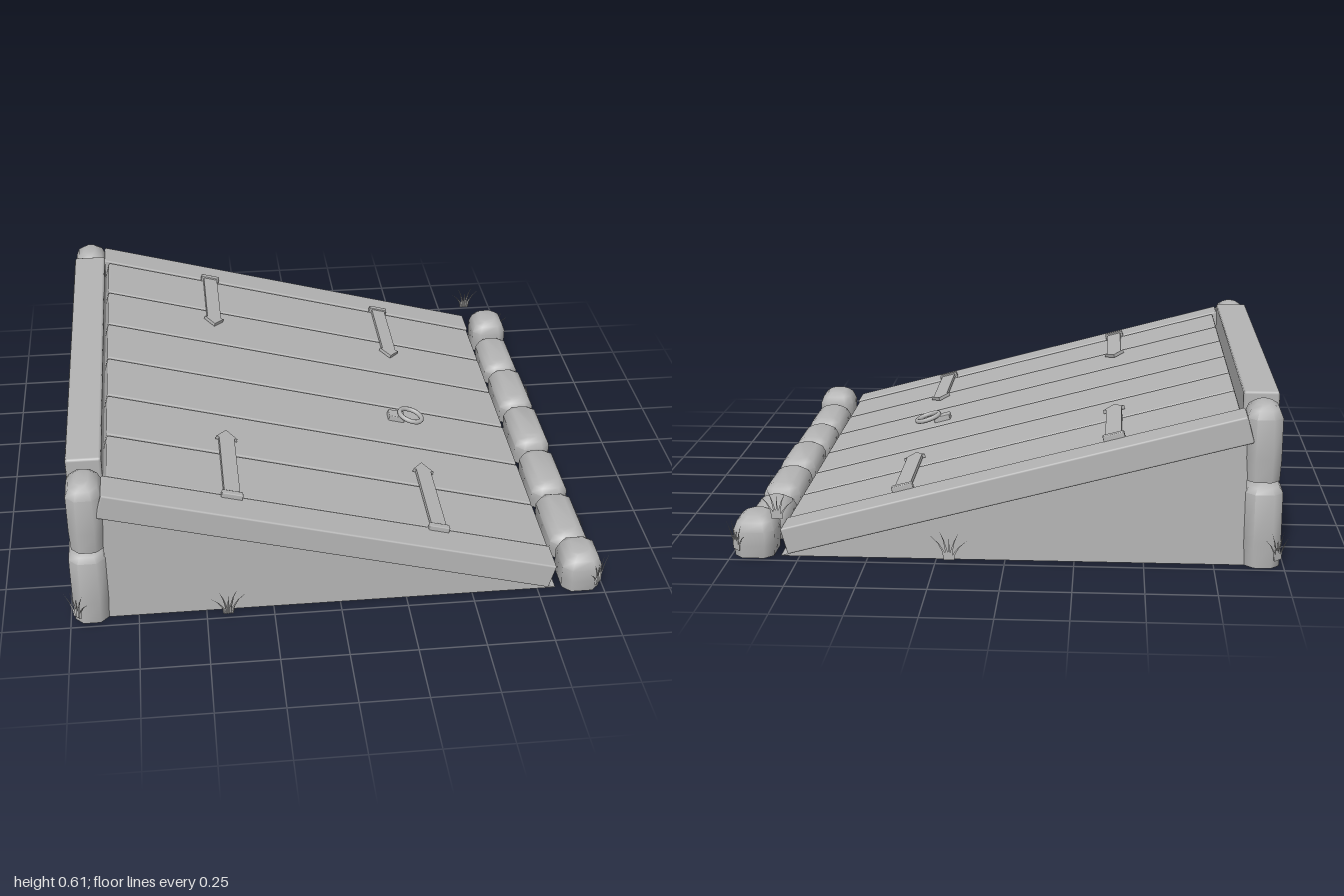
import * as THREE from 'three';
import { toCreasedNormals } from 'three/addons/utils/BufferGeometryUtils.js';
import { RoundedBoxGeometry } from 'three/addons/geometries/RoundedBoxGeometry.js';

const grey = new THREE.MeshStandardMaterial({ color: 0xb4b4b4 });
grey.name = 'grey';

function add(parent, name, geometry, x = 0, y = 0, z = 0) {
  const mesh = new THREE.Mesh(geometry, grey);
  mesh.name = name;
  mesh.position.set(x, y, z);
  parent.add(mesh);
  return mesh;
}

// Box given by its limits on each axis, with small bevels
function bevelBox(parent, name, [x0, x1], [y0, y1], [z0, z1], bevel = 0.007) {
  const geometry = new RoundedBoxGeometry(x1 - x0, y1 - y0, z1 - z0, 1, bevel);
  return add(parent, name, geometry, (x0 + x1) / 2, (y0 + y1) / 2, (z0 + z1) / 2);
}

// Stone with chamfered corners, flat base and domed top
function stoneGeometry(w, h, d, dome) {
  const rings = [[0.004, 0], [0, h * 0.3], [0, h - dome], [0.012, h - dome * 0.4], [0.033, h - dome * 0.08], [0.042, h]];
  const position = [], index = [];
  for (const [inset, y] of rings) {
    const a = w / 2 - inset, b = d / 2 - inset, c = 0.032 - inset * 0.35;
    const ring = [[a, b - c], [a - c, b], [c - a, b], [-a, b - c], [-a, c - b], [c - a, -b], [a - c, -b], [a, c - b]];
    for (const [x, z] of ring) position.push(x, y, z);
  }
  const last = (rings.length - 1) * 8;
  for (let r = 0; r < last; r += 8) {
    for (let i = 0; i < 8; i++) {
      const j = (i + 1) % 8;
      index.push(r + i, r + 8 + i, r + j, r + j, r + 8 + i, r + 8 + j);
    }
  }
  for (let i = 1; i < 7; i++) {
    index.push(0, i, i + 1);
    index.push(last, last + i + 1, last + i);
  }
  const geometry = new THREE.BufferGeometry();
  geometry.setAttribute('position', new THREE.Float32BufferAttribute(position, 3));
  geometry.setIndex(index);
  return toCreasedNormals(geometry, 0.85);
}

// Strap hinge lying flat, pointing towards -z from its origin
function strapHinge() {
  const hinge = new THREE.Group();
  hinge.name = 'strapHinge';
  const shape = new THREE.Shape();
  [[-0.03, 0], [0.03, 0], [0.03, 0.38], [0.042, 0.38], [0, 0.435], [-0.042, 0.38], [-0.03, 0.38]]
    .forEach(([x, y], i) => (i ? shape.lineTo(x, y) : shape.moveTo(x, y)));
  const strap = new THREE.ExtrudeGeometry(shape, { depth: 0.014, bevelEnabled: false });
  strap.rotateX(-Math.PI / 2);
  add(hinge, 'hingeStrap', strap);
  bevelBox(hinge, 'hingeKnuckle', [-0.04, 0.04], [-0.01, 0.02], [-0.022, 0.004], 0.004);
  return hinge;
}

// Grass tuft made of bent, tapered blades
function grassTuft(parent, x, y, z, turn) {
  const tuft = new THREE.Group();
  tuft.name = 'grassTuft';
  for (let i = 0; i < 5; i++) {
    const height = 0.075 + 0.035 * ((i * 3) % 5) / 4;
    const blade = new THREE.ConeGeometry(0.007, height, 3, 3);
    blade.translate(0, height / 2, 0);
    const p = blade.attributes.position;
    const lean = (i - 2) * 0.017;
    for (let v = 0; v < p.count; v++) {
      const t = p.getY(v) / height;
      p.setX(v, p.getX(v) + lean * (0.4 + 1.6 * t * t));
      p.setZ(v, p.getZ(v) * 0.6);
    }
    add(tuft, 'grassBlade', toCreasedNormals(blade, 0.5));
  }
  tuft.position.set(x, y, z);
  tuft.rotation.y = turn;
  parent.add(tuft);
}

export function createModel() {
  const model = new THREE.Group();
  model.name = 'cellarDoor';

  // Wedge-shaped body
  const side = new THREE.Shape();
  side.moveTo(-0.86, 0);
  side.lineTo(0.82, 0);
  side.lineTo(0.8, 0.006);
  side.lineTo(-0.86, 0.462);
  const wedge = new THREE.ExtrudeGeometry(side, { depth: 1.9, bevelEnabled: false });
  add(model, 'wedgeBody', wedge, 0, 0, -0.95);

  // Back wall and the beam on top of it
  add(model, 'backWall', new THREE.BoxGeometry(0.12, 0.48, 1.68), -0.91, 0.24, 0);
  bevelBox(model, 'backBeam', [-0.98, -0.85], [0.465, 0.605], [-0.8, 0.8], 0.01);

  // Sloping door: local x runs down the slope, y = 0 is its top face
  const door = new THREE.Group();
  door.name = 'slopingDoor';
  door.position.set(-0.853, 0.56, 0);
  door.rotation.z = -0.2624;
  model.add(door);
  bevelBox(door, 'sideBeam', [0, 1.727], [-0.1, 0], [0.837, 0.97]);
  bevelBox(door, 'sideBeam', [0, 1.727], [-0.1, 0], [-0.98, -0.847]);
  const seams = [-0.847, -0.567, -0.287, -0.005, 0.28, 0.56, 0.837];
  for (let i = 0; i < 6; i++) {
    bevelBox(door, 'plank', [0.02, 1.722], [-0.09, -0.004], [seams[i] + 0.004, seams[i + 1] - 0.004]);
  }

  // Four strap hinges
  for (const x of [0.48, 1.277]) {
    for (const s of [1, -1]) {
      const hinge = strapHinge();
      hinge.position.set(x, 0, 0.855 * s);
      if (s < 0) hinge.rotation.y = Math.PI;
      door.add(hinge);
    }
  }

  // Pull ring on its mounting plate
  bevelBox(door, 'ringPlate', [1.192, 1.26], [-0.01, 0.018], [0.053, 0.107], 0.004);
  const ring = add(door, 'pullRing', new THREE.TorusGeometry(0.048, 0.01, 8, 24), 1.285, 0.021, 0.08);
  ring.rotation.set(Math.PI / 2, -0.06, 0);

  // Corner stones: stacked pairs at the back, single ones in front
  for (const s of [1, -1]) {
    add(model, 'lowerCornerStone', stoneGeometry(0.132, 0.31, 0.178, 0.035), -0.922, 0, 0.895 * s);
    add(model, 'upperCornerStone', stoneGeometry(0.126, 0.28, 0.17, 0.05), -0.916, 0.318, 0.895 * s);
    add(model, 'frontCornerStone', stoneGeometry(0.15, 0.153, 0.178, 0.055), 0.915, 0, 0.897 * s);
  }

  // Row of kerb stones: near z, far z, height
  const kerb = [[-0.8, -0.51, 0.105], [-0.49, -0.18, 0.118], [-0.165, 0.14, 0.126], [0.16, 0.46, 0.115], [0.475, 0.79, 0.115]];
  for (const [z0, z1, h] of kerb) {
    add(model, 'kerbStone', stoneGeometry(0.145, h, z1 - z0, 0.045), 0.912, 0, (z0 + z1) / 2);
  }

  // Grass around the base
  const q = Math.PI / 4;
  const tufts = [
    [-0.42, 0, 0.975, 0], [0.2, 0.01, -0.985, 0], [0.82, 0.155, -0.985, 0],
    [0.985, 0, 0.65, 2 * q], [0.985, 0.015, -0.31, 2 * q],
    [-0.975, 0.03, 0.975, -q], [0.975, 0.03, 0.975, q],
    [0.975, 0.03, -0.975, -q], [-0.975, 0.03, -0.975, q],
  ];
  for (const [x, y, z, turn] of tufts) grassTuft(model, x, y, z, turn);

  return model;
}
